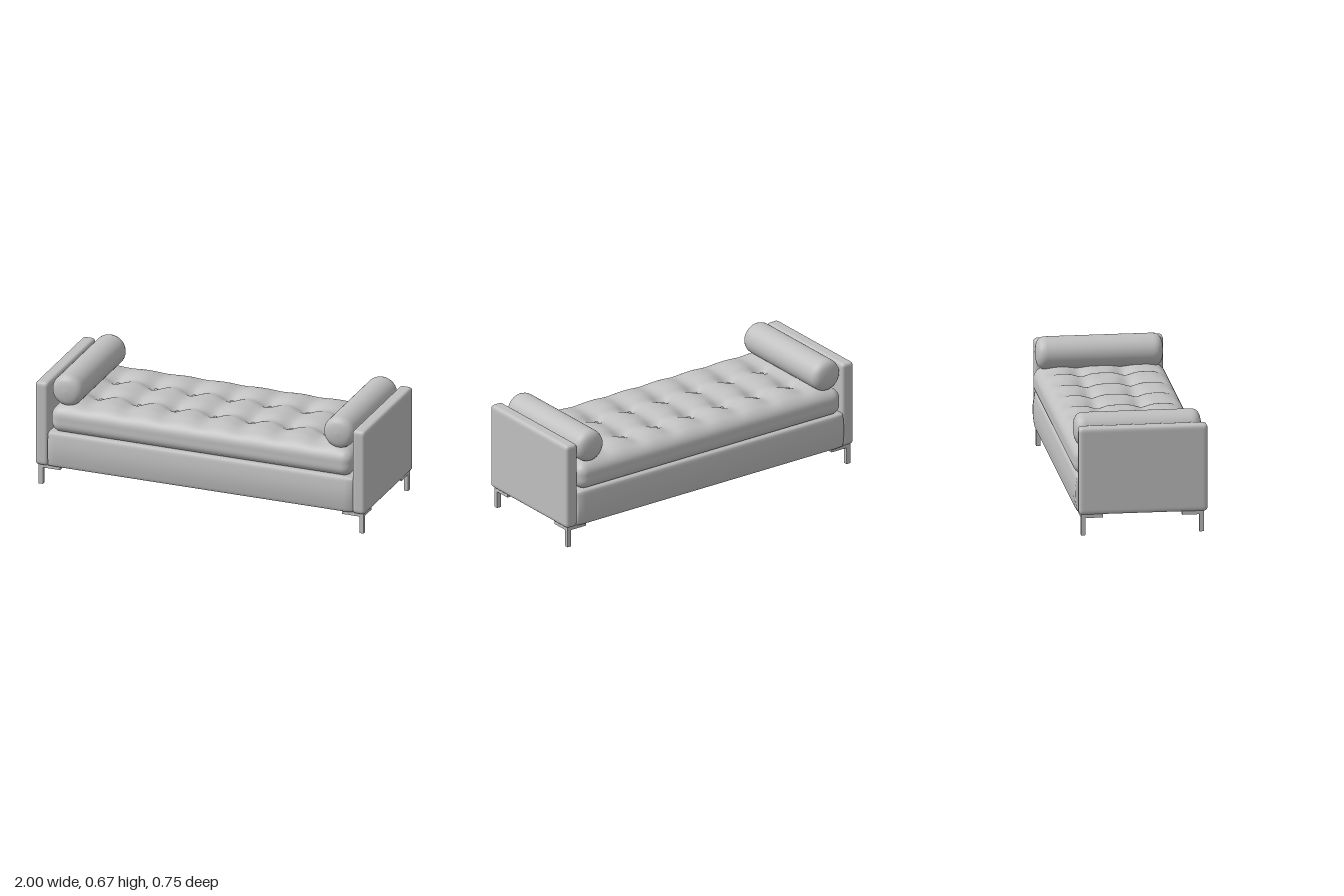
import * as THREE from 'three';
import { mergeVertices } from 'three/addons/utils/BufferGeometryUtils.js';

const grey = new THREE.MeshStandardMaterial({ color: 0xc0c0c0 });
grey.name = 'grey upholstery';

const buttonXs = [-0.7, -0.47, -0.24, -0.01, 0.22, 0.45, 0.685];
const buttonZs = [-0.14, 0.11];

function add(parent, name, geometry, x = 0, y = 0, z = 0) {
  const mesh = new THREE.Mesh(geometry, grey);
  mesh.name = name;
  mesh.position.set(x, y, z);
  parent.add(mesh);
  return mesh;
}

// Box with rounded edges, smooth normals and an optional rule that moves each vertex
function softBox(w, h, d, r, segments, deform) {
  const box = new THREE.BoxGeometry(w, h, d, ...segments);
  box.deleteAttribute('normal');
  box.deleteAttribute('uv');
  const geometry = mergeVertices(box);
  const position = geometry.attributes.position;
  const inner = new THREE.Vector3(w / 2 - r, h / 2 - r, d / 2 - r);
  const low = inner.clone().negate();
  const p = new THREE.Vector3(), q = new THREE.Vector3();
  for (let i = 0; i < position.count; i++) {
    p.fromBufferAttribute(position, i);
    q.copy(p).clamp(low, inner);
    p.sub(q).normalize().multiplyScalar(r).add(q);
    if (deform) deform(p);
    position.setXYZ(i, p.x, p.y, p.z);
  }
  geometry.computeVertexNormals();
  return geometry;
}

// How far the tufted top lies above its rim at x, z
function tuft(x, z) {
  let nearX = 1, nearZ = 1, dimple = 0;
  for (const bx of buttonXs) {
    nearX = Math.min(nearX, Math.abs(x - bx));
    for (const bz of buttonZs) dimple += Math.exp(-(((x - bx) ** 2 + (z - bz) ** 2) / 0.0035));
  }
  for (const bz of buttonZs) nearZ = Math.min(nearZ, Math.abs(z - bz));
  const creaseX = Math.exp(-((nearX / 0.06) ** 2));
  const creaseZ = Math.exp(-((nearZ / 0.04) ** 2));
  const fade = Math.min(1, Math.max(0, (0.375 - Math.abs(z)) / 0.13)) * Math.min(1, Math.max(0, (0.915 - Math.abs(x)) / 0.1));
  return THREE.MathUtils.smoothstep(fade, 0, 1) * (0.03 - 0.02 * creaseX - 0.014 * creaseZ - 0.022 * dimple);
}

export function createModel() {
  const model = new THREE.Group();
  model.name = 'daybed';

  // Base with softly bulging front and back
  add(model, 'base', softBox(1.85, 0.21, 0.73, 0.012, [40, 16, 40], (p) => {
    p.z += Math.sign(p.z) * 0.012 * Math.cos((p.y / 0.21) * Math.PI) * THREE.MathUtils.smoothstep(Math.abs(p.z), 0.3, 0.36);
  }), 0, 0.225, 0);

  // Tufted mattress
  add(model, 'mattress', softBox(1.83, 0.155, 0.745, 0.06, [150, 14, 64], (p) => {
    const top = THREE.MathUtils.smoothstep(p.y, 0.0, 0.0775);
    p.y += top * tuft(p.x, p.z - 0.004);
    if (p.y < 0) p.z *= 1 + 0.008 * Math.min(1, -p.y / 0.05);
  }), 0, 0.4055, -0.004);

  // Buttons sunk into the tufts
  const buttons = new THREE.Group();
  buttons.name = 'buttons';
  model.add(buttons);
  const buttonGeometry = new THREE.SphereGeometry(0.012, 14, 10).scale(1, 0.6, 1);
  for (const x of buttonXs) {
    for (const z of buttonZs) add(buttons, 'button', buttonGeometry, x, 0.483 + tuft(x, z) + 0.003, z);
  }

  // Bolster outline: domed ends, round shoulders, straight middle
  const end = [[0, 0.362], [0.03, 0.36], [0.058, 0.354], [0.074, 0.346], [0.086, 0.334], [0.092, 0.318], [0.093, 0.3]];
  const outline = [
    ...end.map(([r, y]) => new THREE.Vector2(r, -y)),
    ...end.slice().reverse().map(([r, y]) => new THREE.Vector2(r, y)),
  ];
  const bolster = new THREE.LatheGeometry(outline, 48).rotateX(Math.PI / 2);
  const panel = softBox(0.078, 0.505, 0.73, 0.02, [12, 50, 70]);

  for (const side of [-1, 1]) {
    const label = side > 0 ? 'left' : 'right';
    add(model, label + 'EndPanel', panel, side * 0.961, 0.3725, 0.004);
    add(model, label + 'Bolster', bolster, side * 0.823, 0.578, -0.01);

    // Metal corner legs: a post under two mounting arms
    for (const front of [-1, 1]) {
      const leg = new THREE.Group();
      leg.name = label + (front > 0 ? 'FrontLeg' : 'BackLeg');
      leg.position.set(side * 0.972, 0, front * 0.335);
      model.add(leg);
      add(leg, 'post', new THREE.BoxGeometry(0.025, 0.122, 0.025), 0, 0.061, 0);
      add(leg, 'sideArm', new THREE.BoxGeometry(0.105, 0.022, 0.025), -side * 0.065, 0.111, 0);
      add(leg, 'depthArm', new THREE.BoxGeometry(0.025, 0.022, 0.098), 0, 0.111, -front * 0.0615);
    }
  }
  return model;
}
